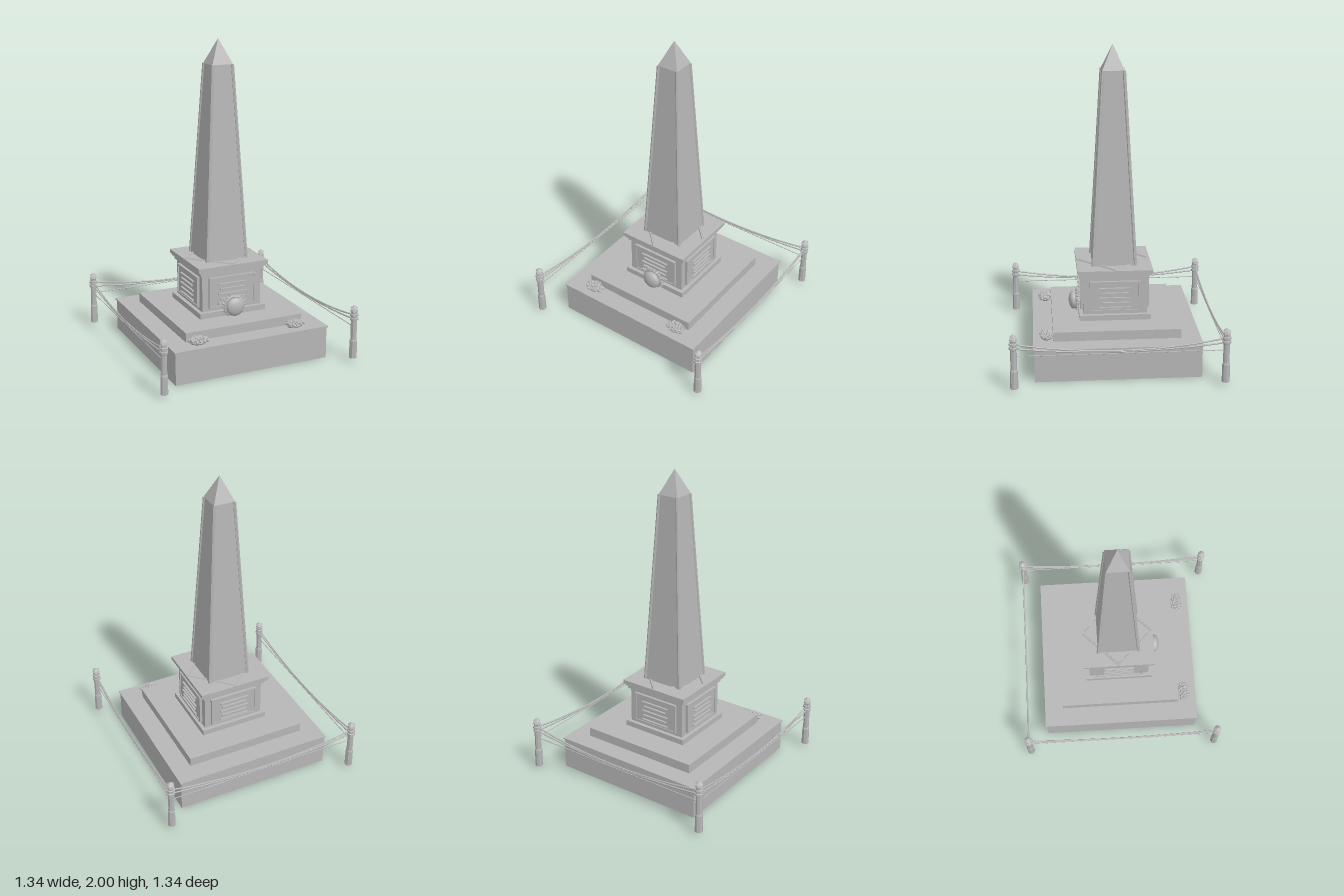
import * as THREE from 'three';

const stone = new THREE.MeshStandardMaterial({ color: 0xb6b6b6, flatShading: true });
stone.name = 'grey stone';

function add(parent, name, geometry, x = 0, y = 0, z = 0) {
  const mesh = new THREE.Mesh(geometry, stone);
  mesh.name = name;
  mesh.position.set(x, y, z);
  parent.add(mesh);
  return mesh;
}

// square block given by half width and bottom / top heights
function block(parent, name, half, y0, y1) {
  return add(parent, name, new THREE.BoxGeometry(half * 2, y1 - y0, half * 2), 0, (y0 + y1) / 2, 0);
}

// four-sided tapered solid given by half widths
function taper(parent, name, bottom, top, y0, y1) {
  const g = new THREE.CylinderGeometry(top * Math.SQRT2, bottom * Math.SQRT2, y1 - y0, 4);
  g.rotateY(Math.PI / 4);
  return add(parent, name, g, 0, (y0 + y1) / 2, 0);
}

// straight round bar between two points
function bar(parent, name, a, b, radius, sides = 6) {
  const path = new THREE.LineCurve3(a, b);
  return add(parent, name, new THREE.TubeGeometry(path, 1, radius, sides));
}

function seeded(seed) {
  return () => (seed = (seed * 16807) % 2147483647) / 2147483647;
}

// framed inscription panel with raised bars, facing +z
function makePanel() {
  const panel = new THREE.Group();
  panel.name = 'inscriptionPanel';
  add(panel, 'plaque', new THREE.BoxGeometry(0.31, 0.19, 0.012), 0, 0.43, 0.208);
  for (const s of [-1, 1]) {
    add(panel, 'frameSide', new THREE.BoxGeometry(0.012, 0.2, 0.02), s * 0.155, 0.43, 0.21);
    add(panel, 'frameRail', new THREE.BoxGeometry(0.31, 0.012, 0.02), 0, 0.43 + s * 0.095, 0.21);
  }
  [0.1, 0.085, 0.1, 0.09, 0.1].forEach((half, i) => {
    add(panel, 'inscriptionBar', new THREE.BoxGeometry(half * 2, 0.008, 0.016), 0, 0.485 - i * 0.032, 0.22);
  });
  return panel;
}

// round wreath: domed centre with a ring of pointed leaves
function makeWreath() {
  const wreath = new THREE.Group();
  wreath.name = 'wreath';
  wreath.position.set(0, 0.335, 0.235);
  add(wreath, 'dome', new THREE.SphereGeometry(0.06, 24, 16), 0, 0, 0.023).scale.z = 0.52;
  add(wreath, 'ring', new THREE.TorusGeometry(0.062, 0.01, 8, 24));
  for (let i = 0; i < 20; i++) {
    const a = (i / 20) * Math.PI * 2;
    const leaf = add(wreath, 'leaf', new THREE.ConeGeometry(0.011, 0.03, 5), Math.cos(a) * 0.073, Math.sin(a) * 0.073, 0);
    leaf.rotation.z = a - Math.PI / 2;
  }
  return wreath;
}

// loose bunch of small blooms and stems
function makeBouquet(x, seed) {
  const rand = seeded(seed);
  const bouquet = new THREE.Group();
  bouquet.name = 'bouquet';
  bouquet.position.set(x, 0.215, 0.44);
  const bed = add(bouquet, 'leafBed', new THREE.IcosahedronGeometry(0.05, 1), 0, 0.01, 0);
  bed.scale.set(1.15, 0.4, 0.8);
  for (let i = 0; i < 30; i++) {
    const a = i * 2.4, r = Math.sqrt((i + 0.5) / 30);
    const bloom = add(bouquet, 'bloom', new THREE.IcosahedronGeometry(0.009 + rand() * 0.005, 0),
      Math.cos(a) * r * 0.062, 0.033 - r * r * 0.018 + rand() * 0.006, Math.sin(a) * r * 0.042);
    bloom.rotation.set(rand() * 3, rand() * 3, 0);
  }
  return bouquet;
}

// bollard with collar rings and a small pointed cap
function makePost(x, z) {
  const post = new THREE.Group();
  post.name = 'post';
  post.position.set(x, 0, z);
  const profile = [[0, 0.025], [0.025, 0.025], [0.024, 0.14], [0.02, 0.15], [0.02, 0.275], [0.027, 0.28],
    [0.027, 0.292], [0.021, 0.295], [0.021, 0.302], [0.027, 0.305], [0.027, 0.317], [0.02, 0.32],
    [0.02, 0.332], [0.025, 0.336], [0.021, 0.347], [0, 0.35]];
  add(post, 'shaft', new THREE.LatheGeometry(profile.map(p => new THREE.Vector2(...p)), 8));
  add(post, 'neck', new THREE.CylinderGeometry(0.006, 0.006, 0.02, 6), 0, 0.35, 0);
  add(post, 'cap', new THREE.ConeGeometry(0.024, 0.018, 8), 0, 0.367, 0);
  return post;
}

// two sagging ropes and one straight cord between two posts
function makeRopes(a, b) {
  const ropes = new THREE.Group();
  ropes.name = 'ropeSpan';
  for (const [end, middle] of [[0.31, 0.25], [0.282, 0.243]]) {
    const points = [];
    for (let i = 0; i <= 8; i++) {
      const t = i / 8, u = 2 * t - 1;
      points.push(new THREE.Vector3().lerpVectors(a, b, t).setY(middle + (end - middle) * u * u));
    }
    add(ropes, 'rope', new THREE.TubeGeometry(new THREE.CatmullRomCurve3(points), 24, 0.005, 6));
  }
  bar(ropes, 'cord', a.clone().setY(0.232), b.clone().setY(0.232), 0.003);
  return ropes;
}

export function createModel() {
  const model = new THREE.Group();
  model.name = 'monument';

  // stepped base
  block(model, 'base', 0.518, 0, 0.205);
  block(model, 'baseLip', 0.525, 0.205, 0.214);
  block(model, 'step', 0.4, 0.214, 0.274);

  // pedestal
  block(model, 'plinth', 0.228, 0.274, 0.31);
  block(model, 'pedestal', 0.203, 0.31, 0.548);
  block(model, 'lowerCornice', 0.217, 0.548, 0.57);
  block(model, 'cornice', 0.23, 0.57, 0.585);
  block(model, 'corniceTop', 0.239, 0.585, 0.609);
  for (let i = 0; i < 4; i++) {
    const panel = makePanel();
    panel.rotation.y = i * Math.PI / 2;
    model.add(panel);
  }

  // diagonal square frame on the cornice
  const frame = new THREE.TorusGeometry(0.23, 0.012, 6, 4);
  frame.rotateX(Math.PI / 2);
  add(model, 'diagonalFrame', frame, 0, 0.607, 0);

  // obelisk with edge mouldings and pointed cap
  taper(model, 'obelisk', 0.138, 0.068, 0.609, 1.845);
  taper(model, 'pyramidion', 0.07, 0.031, 1.845, 1.93);
  taper(model, 'tip', 0.033, 0, 1.928, 2);
  for (const sx of [-1, 1]) for (const sz of [-1, 1]) {
    bar(model, 'edgeMoulding', new THREE.Vector3(sx * 0.135, 0.609, sz * 0.135),
      new THREE.Vector3(sx * 0.066, 1.845, sz * 0.066), 0.011);
  }

  // offerings at the front
  model.add(makeWreath(), makeBouquet(-0.335, 11), makeBouquet(0.33, 47));

  // rope barrier, open at the front
  const d = 0.642;
  const corners = [[-d, d], [-d, -d], [d, -d], [d, d]];
  corners.forEach(([x, z], i) => {
    model.add(makePost(x, z));
    if (i < 3) {
      const [nx, nz] = corners[i + 1];
      model.add(makeRopes(new THREE.Vector3(x, 0, z), new THREE.Vector3(nx, 0, nz)));
    }
  });
  return model;
}
